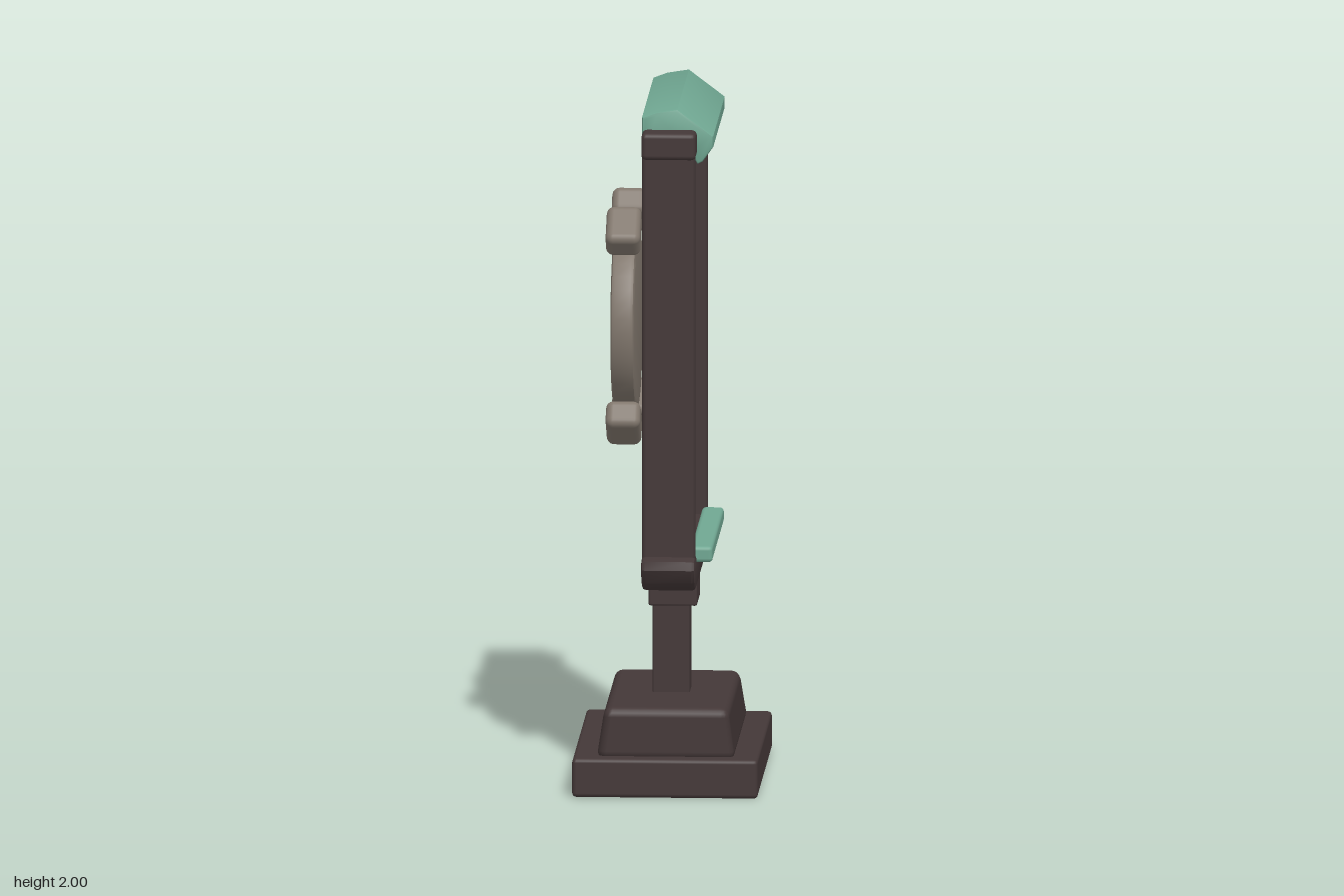
import * as THREE from 'three';
import { toCreasedNormals } from 'three/addons/utils/BufferGeometryUtils.js';
import { RoundedBoxGeometry } from 'three/addons/geometries/RoundedBoxGeometry.js';

const material = (name, color) => {
  const m = new THREE.MeshStandardMaterial({ color });
  m.name = name;
  return m;
};

export function createModel() {
  const root = new THREE.Group();
  root.name = 'signStand';
  const dark = material('darkBrown', 0x443838);
  const green = material('seaGreen', 0x70a792);
  const taupe = material('taupe', 0x81776d);

  const add = (name, geometry, mat, x = 0, y = 0, z = 0, parent = root) => {
    const mesh = new THREE.Mesh(geometry, mat);
    mesh.name = name;
    mesh.position.set(x, y, z);
    parent.add(mesh);
    return mesh;
  };
  // Rounded box given by its limits on each axis
  const block = (name, mat, [x0, x1], [y0, y1], [z0, z1], r = 0.012) =>
    add(name, new RoundedBoxGeometry(x1 - x0, y1 - y0, z1 - z0, 2, r), mat,
      (x0 + x1) / 2, (y0 + y1) / 2, (z0 + z1) / 2);
  // Prism along z with small bevels, centred on its length
  const prism = (points, length, bevel) => {
    const shape = new THREE.Shape(points.map(([a, b]) => new THREE.Vector2(a, b)));
    const g = new THREE.ExtrudeGeometry(shape, {
      depth: length - 2 * bevel, bevelEnabled: true, bevelThickness: bevel,
      bevelSize: bevel, bevelOffset: -bevel, bevelSegments: 2,
    });
    return toCreasedNormals(g.translate(0, 0, bevel - length / 2), 0.6);
  };

  // Stepped base
  block('baseSlab', dark, [-0.267, 0.267], [0, 0.113], [-0.392, 0.392]);
  const tier = block('baseTier', dark, [-0.2, 0.2], [0.1, 0.248], [-0.348, 0.348], 0.026);
  const p = tier.geometry.attributes.position;
  for (let i = 0; i < p.count; i++) {
    const t = (p.getY(i) + 0.074) / 0.148;
    p.setX(i, p.getX(i) * (1 - 0.11 * t));
    p.setZ(i, p.getZ(i) * (1 - 0.1 * t));
  }

  // Pole and collar
  block('pole', dark, [-0.053, 0.054], [0.23, 0.53], [-0.057, 0.056], 0.005);
  block('collar', dark, [-0.064, 0.076], [0.503, 0.62], [-0.09, 0.072], 0.006);

  // Board with a deep recess on the +x face
  block('board', dark, [-0.068, -0.02], [0.62, 1.93], [-0.345, 0.345], 0.004);
  for (const s of [-1, 1]) {
    block('sidePost', dark, [-0.068, 0.085], [0.64, 1.92], [s * 0.335 - 0.02, s * 0.335 + 0.02]);
  }
  block('topBar', dark, [-0.069, 0.088], [1.862, 1.94], [-0.382, 0.38], 0.014);
  const sill = [[-0.33, 0.597], [0.33, 0.597], [0.372, 0.625], [0.392, 0.665],
    [0.385, 0.69], [0.35, 0.7], [-0.35, 0.7], [-0.385, 0.69], [-0.392, 0.665], [-0.372, 0.625]];
  add('bottomBar', prism(sill, 0.156, 0.012).rotateY(Math.PI / 2), dark, 0.009);

  // Green hood and lower rail
  const hood = [[-0.07, 1.872], [0.07, 1.872], [0.09, 1.84], [0.105, 1.848], [0.135, 1.89],
    [0.135, 1.922], [0.032, 2], [-0.03, 1.99], [-0.07, 1.975]];
  add('hood', prism(hood, 0.632, 0.008), green, 0, 0, -0.004);
  block('lowerRail', green, [0.07, 0.133], [0.675, 0.722], [-0.316, 0.312], 0.012);

  // Round plate with four lugs on the -x face
  const emblem = new THREE.Group();
  emblem.name = 'roundPlate';
  emblem.position.set(-0.13, 1.335, -0.004);
  root.add(emblem);
  const circle = Array.from({ length: 40 }, (_, i) => {
    const a = (i / 40) * Math.PI * 2;
    return [0.268 * Math.cos(a), 0.268 * Math.sin(a)];
  });
  add('disc', prism(circle, 0.068, 0.012).rotateY(Math.PI / 2), taupe, 0, 0, 0.006, emblem);
  for (const sy of [-1, 1]) {
    for (const sz of [-1, 1]) {
      const arm = new THREE.Group();
      arm.name = 'lugArm';
      arm.rotation.x = sy > 0 ? sz * 0.545 : Math.PI - sz * 0.545;
      emblem.add(arm);
      add('stem', new RoundedBoxGeometry(0.05, 0.09, 0.045, 2, 0.008), taupe, 0, 0.275, 0, arm);
      const lug = add('lug', new RoundedBoxGeometry(0.1, 0.085, 0.132, 3, 0.022), taupe, 0, 0.328, 0, arm);
      lug.rotation.x = sy * sz * 0.16;
    }
  }
  return root;
}
